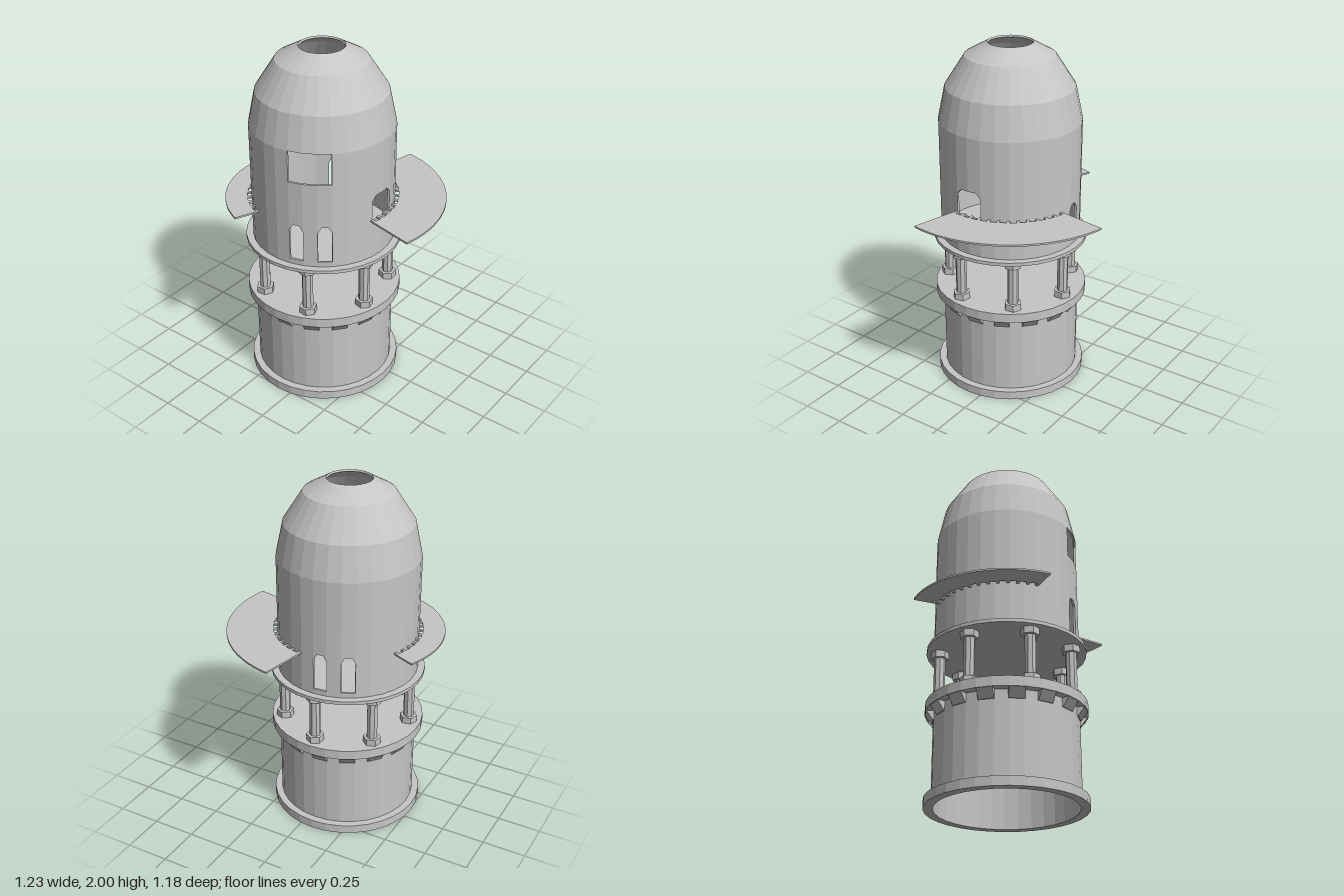
import * as THREE from 'three';

const SIDES = 32;
const STEP = (Math.PI * 2) / SIDES;
const WALL_R = 0.4;
const HALF = WALL_R * Math.sin(STEP / 2); // half width of one wall panel
const rad = THREE.MathUtils.degToRad;

export function createModel() {
  const stone = new THREE.MeshStandardMaterial({ color: 0xc6c6c6, flatShading: true });
  stone.name = 'pale stone grey';

  const model = new THREE.Group();
  model.name = 'tower';
  const tower = new THREE.Group();
  tower.name = 'towerAxis';
  tower.position.set(-0.075, 0, 0.08);
  model.add(tower);

  const add = (name, geometry, parent = tower) => {
    const mesh = new THREE.Mesh(geometry, stone);
    mesh.name = name;
    parent.add(mesh);
    return mesh;
  };
  const group = (name, parent = tower) => {
    const g = new THREE.Group();
    g.name = name;
    parent.add(g);
    return g;
  };
  const shape = (pts) => new THREE.Shape(pts.map(([x, y]) => new THREE.Vector2(x, y)));
  const lathe = (pts) =>
    new THREE.LatheGeometry(pts.map(([r, y]) => new THREE.Vector2(r, y)), SIDES);
  const disc = (r, y0, y1) =>
    new THREE.CylinderGeometry(r, r, y1 - y0, SIDES).translate(0, (y0 + y1) / 2, 0);

  // Hollow lower drum with its foot ring, open underneath
  add('footRing', lathe([[0.383, 0], [0.435, 0], [0.435, 0.05], [0.383, 0.05]]));
  add('drumWall', lathe([[0.383, 0], [0.395, 0], [0.395, 0.52], [0.383, 0.52], [0.383, 0]]));
  add('lowerDeck', disc(0.44, 0.515, 0.57));

  // Wedge brackets under the lower deck
  const wedge = new THREE.ExtrudeGeometry(
    shape([[0.385, 0.465], [0.398, 0.465], [0.435, 0.517], [0.385, 0.517]]),
    { depth: 0.085, bevelEnabled: false });
  wedge.translate(0, 0, -0.0425).rotateY(-Math.PI / 2);
  const brackets = group('brackets');
  for (let i = 0; i < 16; i++) {
    add('bracket', wedge, brackets).rotation.y = rad(5.4 + i * 22.5);
  }

  // Seven columns with hexagonal bases and capitals
  const shaft = new THREE.CylinderGeometry(0.031, 0.031, 0.3, 8);
  const block = new THREE.CylinderGeometry(0.05, 0.05, 0.038, 6);
  const columns = group('columns');
  for (let i = 0; i < 7; i++) {
    const a = rad(24) + (i * Math.PI * 2) / 7;
    const column = group('column', columns);
    column.position.set(0.367 * Math.sin(a), 0, 0.367 * Math.cos(a));
    column.rotation.y = a;
    add('columnShaft', shaft, column).position.y = 0.72;
    add('columnBase', block, column).position.y = 0.589;
    add('columnCapital', block, column).position.y = 0.851;
  }
  add('upperDeck', disc(0.44, 0.87, 0.89));

  // Upper wall: one flat panel per side, split above and below its opening
  const wall = group('upperWall');
  const T = 0.012, Y0 = 0.885, Y1 = 1.57;
  const panel = (pts) =>
    new THREE.ExtrudeGeometry(shape(pts), { depth: T, bevelEnabled: false })
      .translate(0, 0, WALL_R * Math.cos(STEP / 2) - T);
  const slab = (y0, y1) => panel([[-HALF, y0], [HALF, y0], [HALF, y1], [-HALF, y1]]);
  const lintel = (edge, top) => panel([...edge, [HALF, top], [-HALF, top]]);
  const arch = [[-HALF, 1.1], [-0.018, 1.135], [0.018, 1.135], [HALF, 1.1]];
  const doorLeft = [[-HALF, 1.235], [-HALF + 0.03, 1.265], [HALF, 1.265]];
  const doorRight = [[-HALF, 1.265], [HALF - 0.03, 1.265], [HALF, 1.235]];
  const SILL = 1.39; // underside of the wide upper window

  const plain = [slab(Y0, Y1)];
  const archedFront = [slab(Y0, 0.92), lintel(arch, SILL)];
  const archedBack = [slab(Y0, 0.92), lintel(arch, Y1)];
  const special = {
    1: archedFront, 2: [slab(Y0, SILL)], 3: archedFront,
    7: [slab(Y0, 1.115), lintel(doorLeft, Y1)],
    8: [slab(Y0, 1.115), lintel(doorRight, Y1)],
    16: archedBack, 18: archedBack,
  };
  for (let i = 0; i < SIDES; i++) {
    for (const g of special[i] || plain) {
      add('wallPanel', g, wall).rotation.y = (i + 0.5) * STEP;
    }
  }

  // Faceted dome shell, open at the crown
  add('dome', lathe([
    [0.4, 1.57], [0.36, 1.76], [0.25, 1.93], [0.125, 2],
    [0.12, 1.99], [0.24, 1.922], [0.348, 1.755], [0.388, 1.57], [0.4, 1.57],
  ]));

  // Fan-shaped balconies held off the wall by short ties
  const tie = new THREE.BoxGeometry(0.016, 0.01, 0.04).translate(0, 1.12, 0.41);
  const balcony = (name, from, to, radius) => {
    const g = group(name);
    const a = rad(from - 90), b = rad(to - 90);
    const fan = new THREE.Shape();
    fan.absarc(0, 0, radius, a, b, false);
    fan.absarc(0, 0, 0.422, b, a, true);
    add('balconyFloor', new THREE.ExtrudeGeometry(fan, {
      depth: 0.01, bevelEnabled: false, curveSegments: 16,
    }).rotateX(-Math.PI / 2).translate(0, 1.115, 0), g);
    for (let i = 0; i <= 12; i++) {
      add('balconyTie', tie, g).rotation.y = rad(from + 1.5 + ((to - from - 3) * i) / 12);
    }
  };
  balcony('largeBalcony', 77, 169.4, 0.685);
  balcony('smallBalcony', 245.5, 338, 0.545);

  return model;
}
